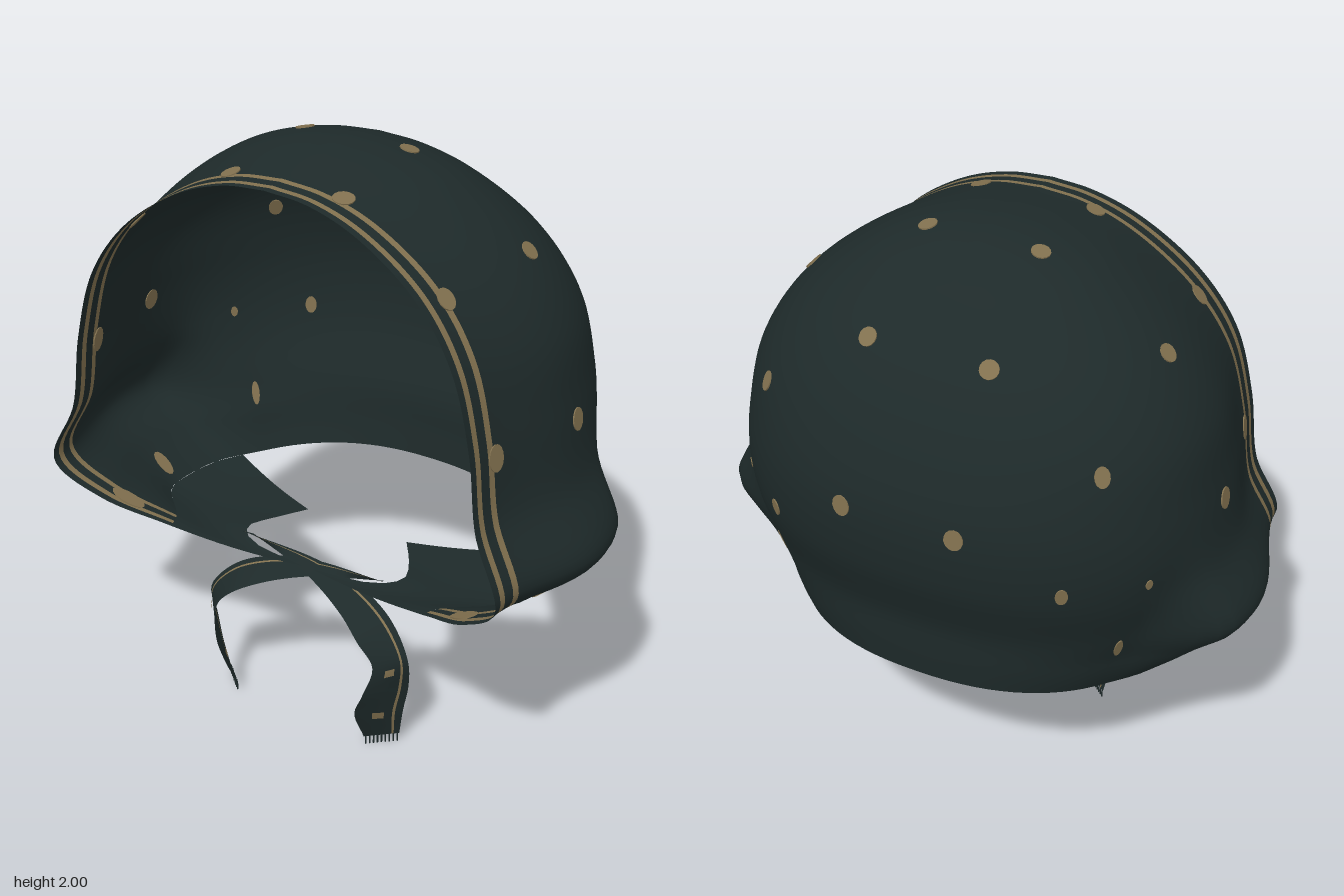
import * as THREE from 'three';
import { mergeVertices } from 'three/addons/utils/BufferGeometryUtils.js';

const V = (x, y, z) => new THREE.Vector3(x, y, z);
const curve = (pts) => new THREE.CatmullRomCurve3(pts.map((p) => V(...p)));
const mat = (name, color) => {
  const m = new THREE.MeshStandardMaterial({ color, side: THREE.DoubleSide });
  m.name = name;
  return m;
};

// Face rim, widest side line and back centre line, each from hem to crown
const rim = curve([[.50, .62, .40], [.70, .72, .51], [.84, .85, .57], [.755, 1.07, .55], [.72, 1.32, .54],
  [.65, 1.56, .53], [.52, 1.74, .515], [.32, 1.88, .505], [.15, 1.94, .5], [0, 1.955, .5]]);
const side = curve([[.70, .585, .10], [.835, .71, .10], [.955, .84, .10], [.855, 1.06, .08], [.81, 1.3, .07],
  [.76, 1.52, .06], [.62, 1.73, .06], [.38, 1.91, .08], [.18, 1.98, .1], [0, 2, .1]]);
const back = curve([[0, .62, -.48], [0, .72, -.49], [0, .85, -.50], [0, 1.08, -.57], [0, 1.32, -.58],
  [0, 1.55, -.51], [0, 1.72, -.41], [0, 1.85, -.29], [0, 1.9, -.235], [0, 1.915, -.21]]);

// w runs from the left rim (2) round the back (0) to the right rim (-2); v from hem to crown
function hood(w, v) {
  const s = 2 - Math.abs(w), sign = w < 0 ? -1 : 1;
  const S = side.getPoint(v);
  let p;
  if (s < 1) {
    const R = rim.getPoint(v), k = (1 + Math.cos(Math.PI * s)) / 2;
    p = V(S.x + (R.x - S.x) * k, S.y + (R.y - S.y) * k, R.z + (S.z - R.z) * s);
  } else {
    const B = back.getPoint(v), a = Math.min((s - 1) * Math.PI / 2, Math.PI / 2);
    const sn = Math.sin(a), c = Math.max(Math.cos(a), 0);
    p = V(S.x * c ** .86, S.y + (B.y - S.y) * sn * sn, S.z + (B.z - S.z) * sn ** .95);
  }
  // the cheek lobe folds in towards the nape
  const lobe = Math.exp(-(((p.y - .82) / .2) ** 2));
  p.x *= 1 - .19 * lobe * THREE.MathUtils.smoothstep(-p.z, .07, .25);
  p.x *= sign;
  return p;
}

// Surface over given columns; columns flagged by isStripe use the second material
function sheet(fn, cols, rows, isStripe = () => false) {
  const pos = [], idx = [], geo = new THREE.BufferGeometry();
  for (const c of cols) for (let j = 0; j <= rows; j++) pos.push(...fn(c, j / rows).toArray());
  for (let i = 0; i < cols.length - 1; i++) {
    geo.addGroup(idx.length, rows * 6, isStripe((cols[i] + cols[i + 1]) / 2) ? 1 : 0);
    for (let j = 0; j < rows; j++) {
      const a = i * (rows + 1) + j, b = a + rows + 1;
      idx.push(a, b, a + 1, b, b + 1, a + 1);
    }
  }
  geo.setAttribute('position', new THREE.Float32BufferAttribute(pos, 3));
  geo.setIndex(idx);
  const merged = mergeVertices(geo, 1e-5);
  merged.computeVertexNormals();
  return merged;
}

export function createModel() {
  const model = new THREE.Group();
  const cloth = mat('dark green cloth', 0x1e2a2a), tan = mat('tan print', 0x82714f);
  const add = (name, geo, material, parent = model) => {
    const m = new THREE.Mesh(geo, material);
    m.name = name;
    parent.add(m);
    return m;
  };

  // Hood with two border stripes along the face rim
  const half = [0, .06, .11, .19, .24, .3, .4, .5, .6, .7, .8, .9];
  for (let i = 0; i < 24; i++) half.push(1 + i / 24);
  const cols = [...half.map((s) => 2 - s), 0, ...half.map((s) => s - 2).reverse()];
  const border = (w) => {
    const s = 2 - Math.abs(w);
    return (s > .06 && s < .11) || (s > .19 && s < .24);
  };
  add('hood', sheet(hood, cols, 70, border), [cloth, tan]);

  // Printed dots (place, width, height), each set onto the nearest place on the hood
  const spots = [[.2, 1.28, -.56, 1, 1.15], [.2, 1.78, -.37, 1, 1], [.56, 1.51, -.35, .8, 1.1],
    [.5, 1.11, -.45, .65, 1], [.62, 1.75, .01, 1, 1], [.57, 1.74, .41, 1, 1.15], [.2, 1.98, .01, 1, 1],
    [.2, 1.93, .39, 1.15, 1], [.8, 1.24, .06, 1, 1.2], [.75, 1.26, .42, 1, 1.4], [.71, 1.1, -.27, .4, .6],
    [.64, .79, -.28, .45, 1.4], [.76, .65, .1, .8, 1.6], [.66, .66, .42, 1, 2]];
  const dots = new THREE.Group();
  dots.name = 'printedDots';
  model.add(dots);
  const disc = new THREE.CylinderGeometry(.031, .031, .007, 14).rotateX(Math.PI / 2);
  for (const [x, y, z, wide, high] of spots) {
    const target = V(x, y, z);
    let best = [0, 0], dist = Infinity;
    for (let w = .02; w < 1.96; w += .02) {
      for (let v = .02; v < .98; v += .01) {
        const d = hood(w, v).distanceTo(target);
        if (d < dist) { dist = d; best = [w, v]; }
      }
    }
    const [w, v] = best, p = hood(w, v);
    const n = hood(w + .01, v).sub(p).cross(hood(w, v + .01).sub(p)).normalize();
    for (const m of [1, -1]) {
      const dot = add('dot', disc, tan, dots);
      dot.position.set(p.x * m, p.y, p.z);
      dot.lookAt((p.x + n.x) * m, p.y + n.y, p.z + n.z);
      dot.scale.set(wide, high, 1);
    }
  }

  // Flaps drawn in under the chin: a narrow front strip to the knot, a notch and a rear point
  const flapCols = [0, .08, .16, .25, .4, .55, .7, .85, 1, 1.1, 1.2, 1.3];
  const flapEnd = curve([[.02, .575, .31], [.25, .585, .28], [.31, .585, .21], [.27, .58, .11], [.2, .585, .01]]);
  for (const m of [1, -1]) {
    const flap = (s, t) => {
      const p = hood(2 - s, 0).lerp(flapEnd.getPoint(s / 1.3), t);
      p.y -= .012 * Math.sin(Math.PI * t);
      p.x *= m;
      return p;
    };
    add(m > 0 ? 'leftChinFlap' : 'rightChinFlap', sheet(flap, flapCols, 14), cloth);
  }

  // Tie ends crossing at the knot, with a fringe at the bottom
  const outer = curve([[-.28, .615, .29], [0, .575, .25], [.17, .54, .26], [.31, .475, .29], [.395, .37, .32],
    [.39, .25, .30], [.37, .14, .30], [.35, .03, .29]]);
  const inner = curve([[-.26, .59, .25], [0, .545, .31], [.17, .485, .37], [.26, .43, .41], [.315, .35, .405],
    [.295, .25, .435], [.265, .17, .435], [.26, .03, .37]]);
  for (const m of [1, -1]) {
    const tie = new THREE.Group();
    tie.name = m > 0 ? 'leftTie' : 'rightTie';
    model.add(tie);
    const ribbon = (u, t) => {
      const p = outer.getPoint(t).lerp(inner.getPoint(t), u);
      if (m < 0) p.y += .022 * t - .008;
      p.x *= m;
      return p;
    };
    add('ribbon', sheet(ribbon, [0, .16, .22, .45, .7, 1], 40, (u) => u > .16 && u < .22), [cloth, tan], tie);
    for (let i = 0; i < 9; i++) {
      const p = ribbon((i + .5) / 9, 1);
      add('fringe', new THREE.BoxGeometry(.004, .032, .004), cloth, tie).position.set(p.x, p.y - .014, p.z);
    }
    // small printed patches on both faces of the ribbon
    for (const t of [.6, .86]) {
      for (const lift of [.004, -.004]) {
        const patch = (u, k) => ribbon(u, t + .035 * k).add(V(lift * m, 0, lift));
        add('ribbonPatch', sheet(patch, [.4, .55, .65], 3), tan, tie);
      }
    }
  }
  return model;
}
